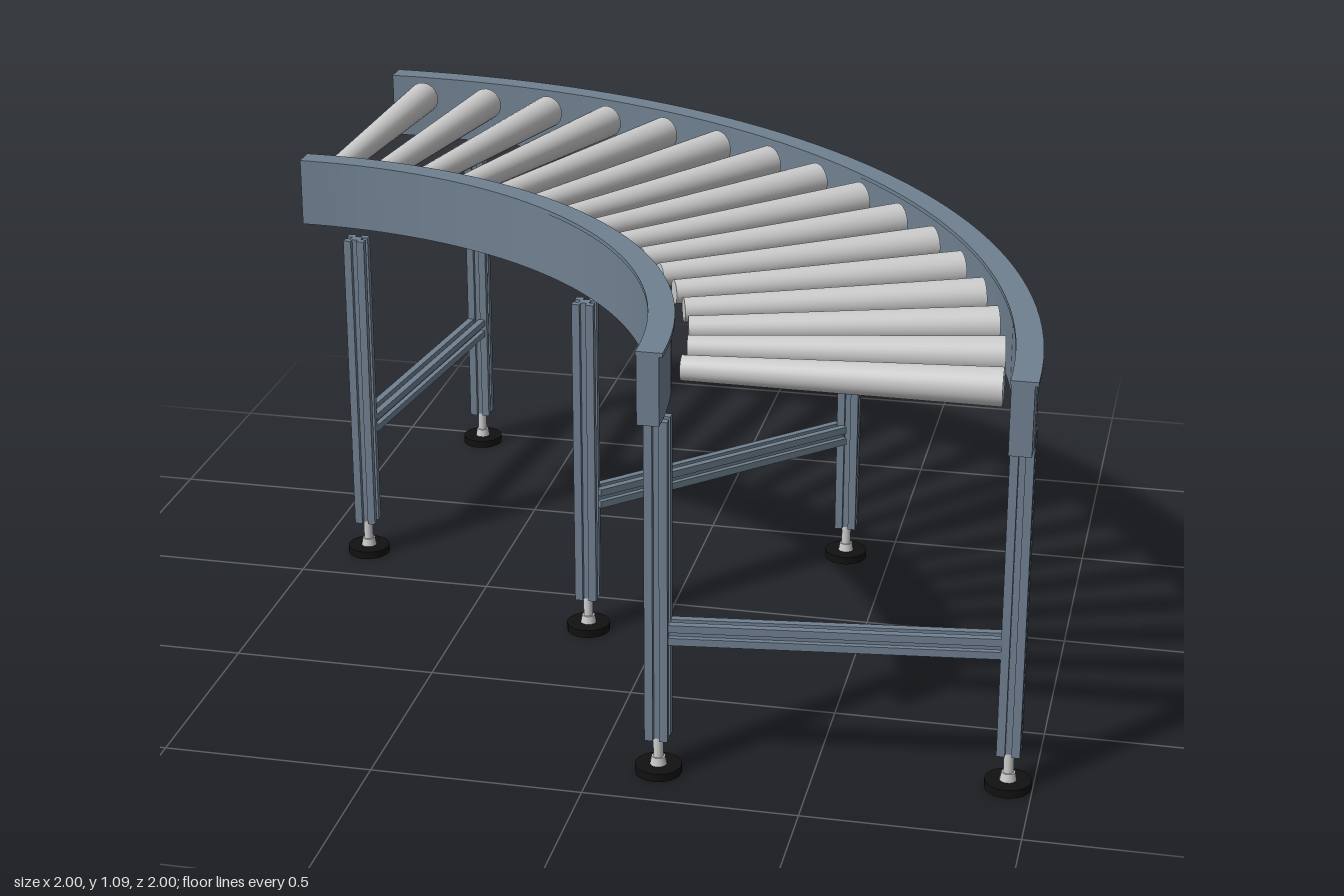
import * as THREE from 'three';

const steel = new THREE.MeshStandardMaterial({ color: 0x708090 });
const grey = new THREE.MeshStandardMaterial({ color: 0xcccccc });
const rubber = new THREE.MeshStandardMaterial({ color: 0x111111 });
const INNER = 1.157, OUTER = 1.957; // rail centre radii

function add(parent, name, geometry, material, x = 0, y = 0, z = 0) {
  const mesh = new THREE.Mesh(geometry, material);
  mesh.name = name;
  mesh.position.set(x, y, z);
  parent.add(mesh);
  return mesh;
}

// Quarter ring with a rectangular section, standing on y = 0
function quarterRing(r0, r1, height) {
  const s = new THREE.Shape();
  s.absarc(0, 0, r1, 0, Math.PI / 2, false);
  s.absarc(0, 0, r0, Math.PI / 2, 0, true);
  s.closePath();
  return new THREE.ExtrudeGeometry(s, { depth: height, bevelEnabled: false, curveSegments: 24 })
    .rotateX(-Math.PI / 2);
}

// Square bar with a groove along each of its four sides, extruded along z
function slottedBar(size, length) {
  const h = size / 2, w = size * 0.14, d = size * 0.26;
  const side = [[h, -h], [h, -w], [h - d, -w], [h - d, w], [h, w]];
  const pts = [];
  for (let i = 0; i < 4; i++) {
    for (const [x, y] of side) {
      pts.push(new THREE.Vector2(x, y).rotateAround(new THREE.Vector2(), i * Math.PI / 2));
    }
  }
  return new THREE.ExtrudeGeometry(new THREE.Shape(pts), { depth: length, bevelEnabled: false });
}

// Slotted post on an adjustable foot
function leg(x, z) {
  const g = new THREE.Group();
  g.name = 'leg';
  g.position.set(x, 0, z);
  add(g, 'post', slottedBar(0.054, 0.79).rotateX(-Math.PI / 2), steel, 0, 0.09, 0);
  add(g, 'footStem', new THREE.CylinderGeometry(0.012, 0.012, 0.08, 16), grey, 0, 0.055, 0);
  add(g, 'footNut', new THREE.CylinderGeometry(0.016, 0.02, 0.022, 16), grey, 0, 0.029, 0);
  add(g, 'footPad', new THREE.CylinderGeometry(0.054, 0.054, 0.02, 24), rubber, 0, 0.01, 0);
  return g;
}

export function createModel() {
  const model = new THREE.Group();
  model.name = 'curvedRollerConveyor';

  // Everything is laid out around the centre of the bend
  const bend = new THREE.Group();
  bend.name = 'bend';
  bend.position.set(-1, 0, 1);
  model.add(bend);

  // Side rails, each with a thin lip overhanging outwards
  for (const [name, r] of [['innerRail', INNER], ['outerRail', OUTER]]) {
    add(bend, name, quarterRing(r - 0.025, r + 0.025, 0.16), steel, 0, 0.915, 0);
    add(bend, name + 'Lip', quarterRing(r - 0.027, r + 0.033, 0.01), steel, 0, 1.075, 0);
  }

  // Tapered rollers fanned through a quarter turn
  const rollerGeo = new THREE.CylinderGeometry(0.028, 0.043, 0.69, 24)
    .rotateZ(Math.PI / 2).translate(1.565, 0, 0);
  const count = 16;
  for (let i = 0; i < count; i++) {
    const roller = add(bend, 'roller', rollerGeo, grey, 0, 1.032, 0);
    roller.rotation.y = ((i + 0.5) / count) * Math.PI / 2;
  }

  // Three pairs of legs, each joined by a crossbar
  for (const deg of [6.75, 45, 83.25]) {
    const a = THREE.MathUtils.degToRad(deg);
    for (const r of [INNER, OUTER]) bend.add(leg(r * Math.cos(a), -r * Math.sin(a)));
    const barGeo = slottedBar(0.05, OUTER - INNER - 0.05)
      .rotateY(Math.PI / 2).translate(INNER + 0.025, 0, 0);
    add(bend, 'crossbar', barGeo, steel, 0, 0.36, 0).rotation.y = a;
  }
  return model;
}
